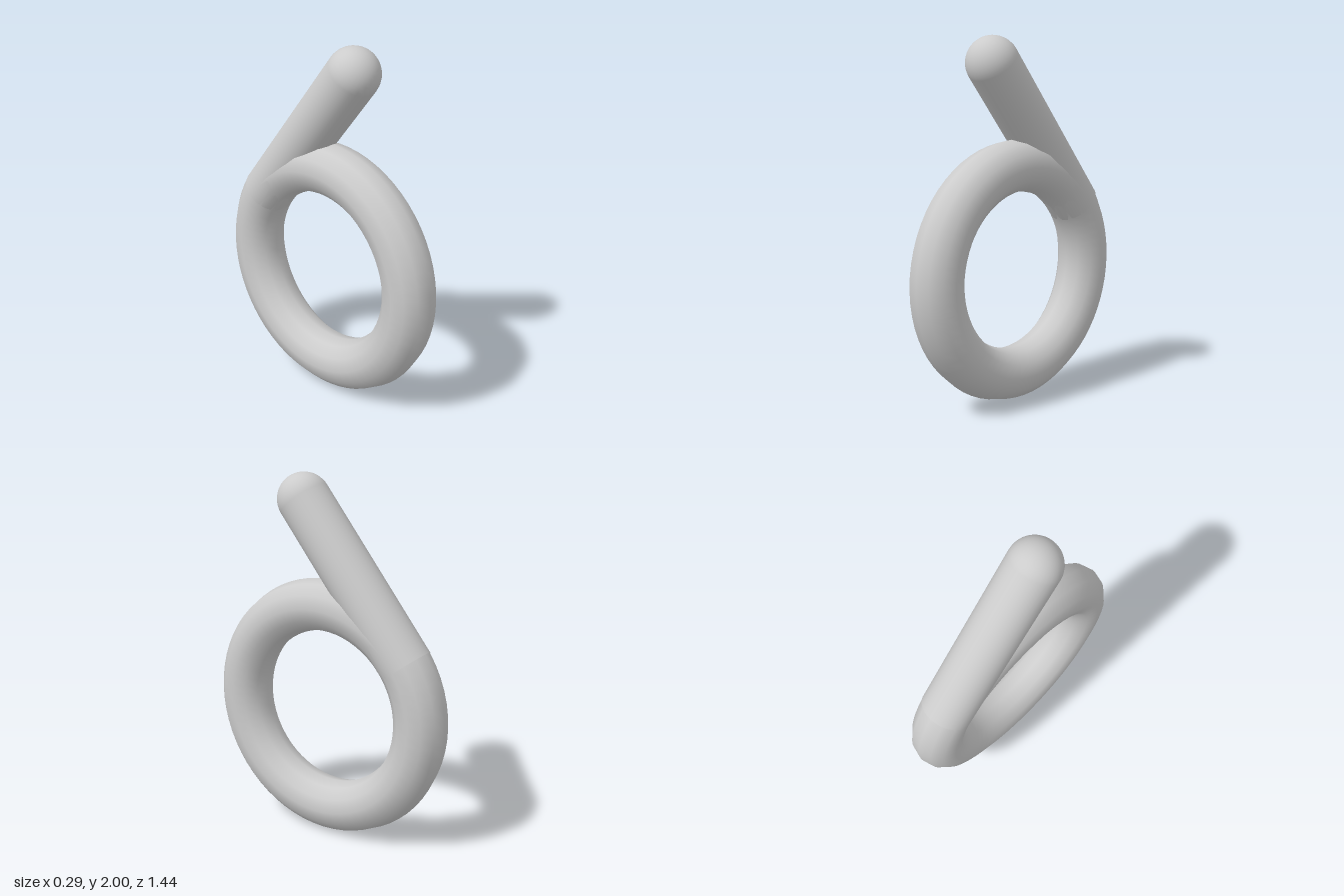
import * as THREE from 'three';

const RING_RADIUS = 0.578;
const TUBE = 0.144;
const CENTRE_Y = 0.722;

export function createModel() {
  const group = new THREE.Group();
  const material = new THREE.MeshStandardMaterial({ color: 0xcccccc });
  const add = (name, geometry) => {
    const mesh = new THREE.Mesh(geometry, material);
    mesh.name = name;
    group.add(mesh);
    return mesh;
  };

  // Upright ring in the yz plane
  const ring = add('ring', new THREE.TorusGeometry(RING_RADIUS, TUBE, 12, 64));
  ring.rotation.y = -Math.PI / 2;
  ring.position.y = CENTRE_Y;

  // Straight stem, running tangent off the back of the ring to a rounded tip
  const tip = new THREE.Vector3(0, 2 - TUBE, 0.167);
  const foot = new THREE.Vector3(0, 1.041, -0.485);
  const axis = tip.clone().sub(foot);
  const up = new THREE.Vector3(0, 1, 0);
  const turn = new THREE.Quaternion().setFromUnitVectors(up, axis.clone().normalize());

  const stem = add('stem', new THREE.CylinderGeometry(TUBE, TUBE, axis.length(), 32, 1, true));
  stem.material = material.clone();
  stem.material.side = THREE.DoubleSide;
  stem.position.copy(foot).add(tip).multiplyScalar(0.5);
  stem.quaternion.copy(turn);

  // Half-sphere closing the stem
  const cap = add('stemTip', new THREE.SphereGeometry(TUBE, 32, 12, 0, Math.PI * 2, 0, Math.PI / 2));
  cap.position.copy(tip);
  cap.quaternion.copy(turn);

  return group;
}
